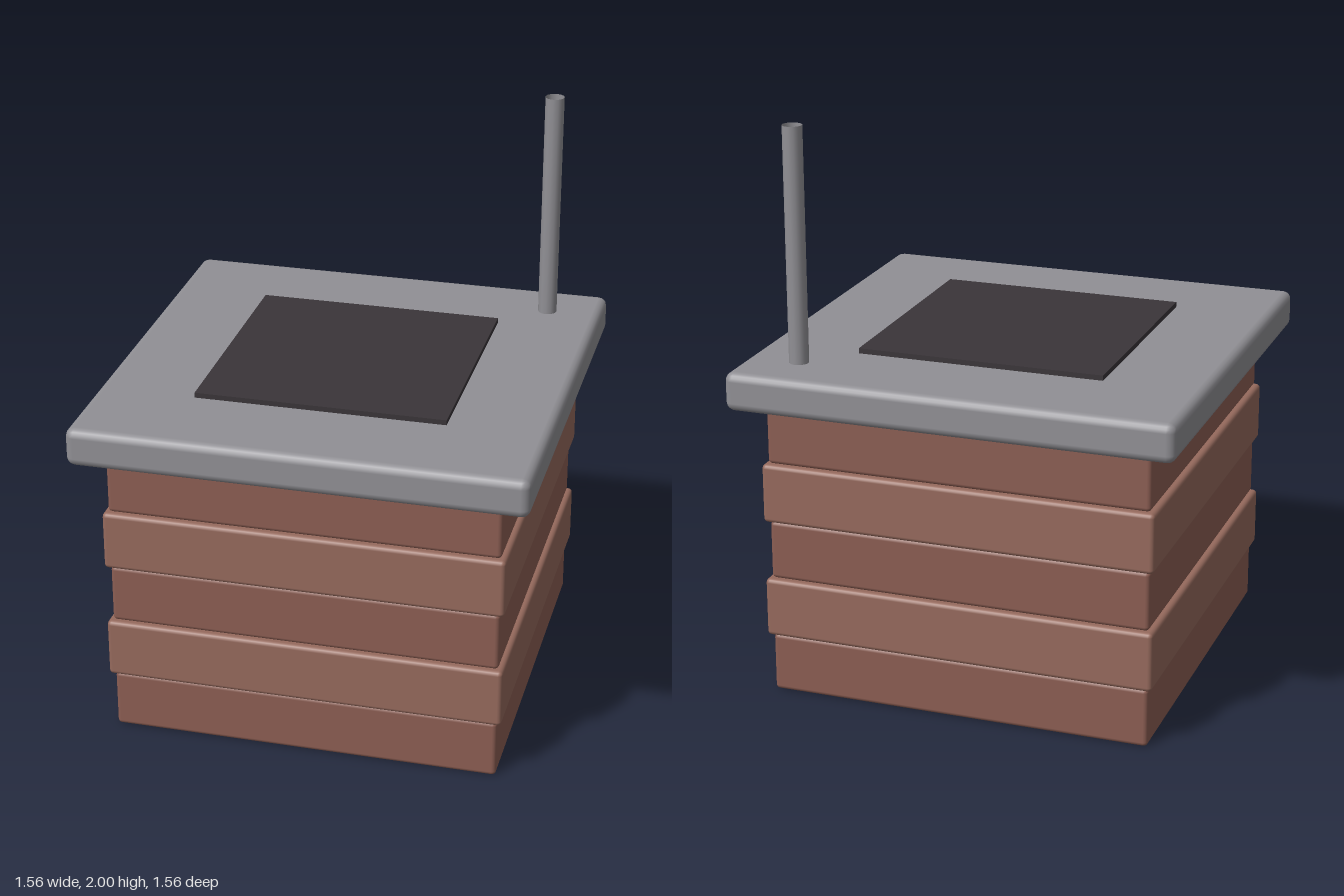
import * as THREE from 'three';
import { RoundedBoxGeometry } from 'three/addons/geometries/RoundedBoxGeometry.js';

export function createModel() {
  const group = new THREE.Group();
  const mat = (color, side = THREE.FrontSide) => new THREE.MeshStandardMaterial({ color, side });
  const brickDark = mat(0x8c5e53);
  const brickLight = mat(0x966a5d);

  const add = (name, geometry, material, x, y, z) => {
    const mesh = new THREE.Mesh(geometry, material);
    mesh.name = name;
    mesh.position.set(x, y, z);
    group.add(mesh);
  };

  // Brick courses, alternately narrow and wide
  const courseHeight = 0.21;
  for (let i = 0; i < 5; i++) {
    const wide = i % 2 === 1;
    const width = wide ? 1.386 : 1.352;
    add(`brickCourse${i + 1}`, new RoundedBoxGeometry(width, courseHeight, width, 2, 0.015),
      wide ? brickLight : brickDark, 0, courseHeight * (i + 0.5), 0);
  }

  // Overhanging cap slab with softened edges
  add('capSlab', new RoundedBoxGeometry(1.56, 0.135, 1.56, 2, 0.03), mat(0x919095), 0, 1.1175, 0);

  // Dark flue opening plate
  add('flueOpening', new THREE.BoxGeometry(0.87, 0.02, 0.87), mat(0x3a3539), 0, 1.193, 0);

  // Thin open pipe at the back left corner
  add('pipe', new THREE.CylinderGeometry(0.034, 0.034, 0.82, 12, 1, true),
    mat(0x919095, THREE.DoubleSide), 0.588, 1.59, -0.588);

  return group;
}
